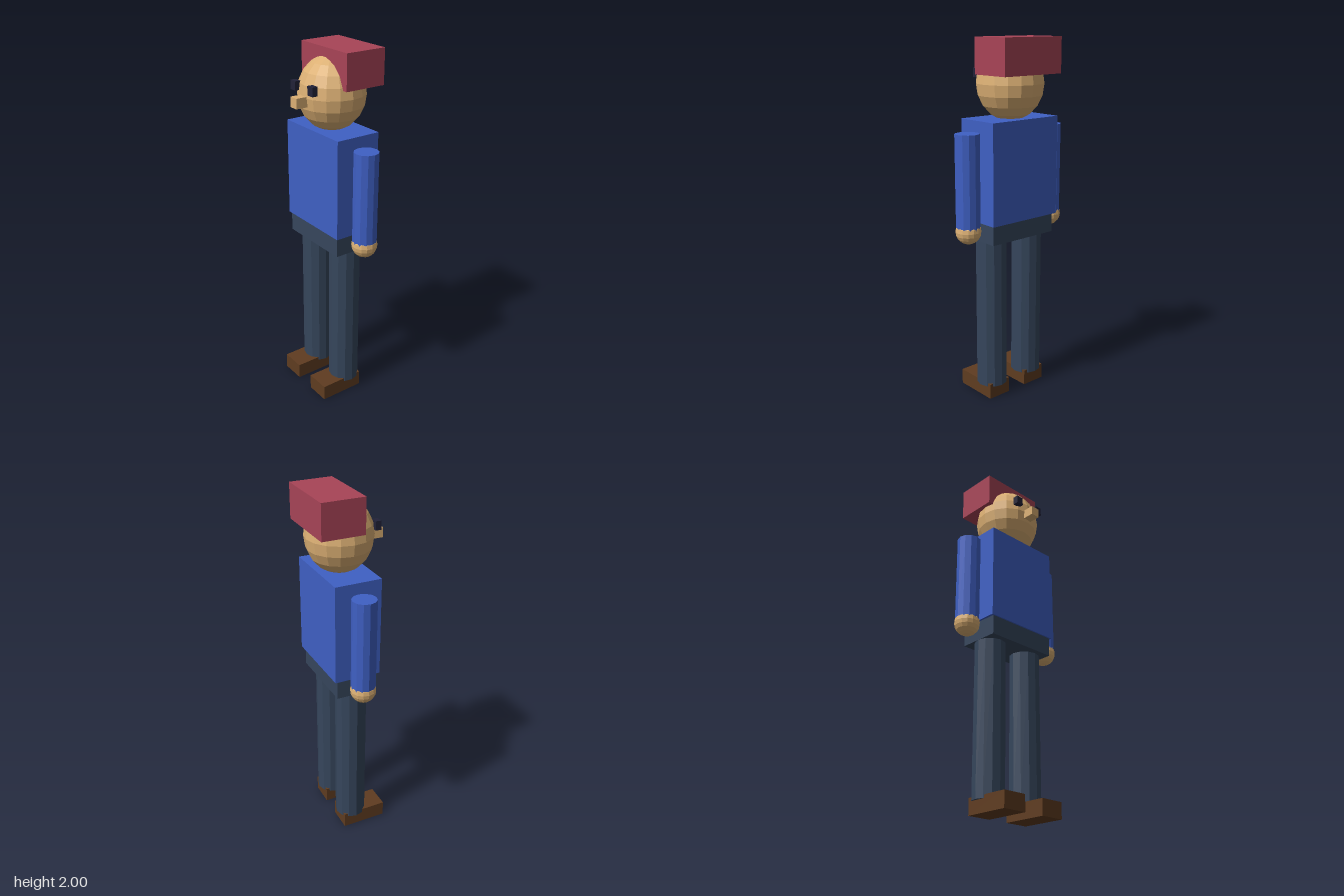
import * as THREE from 'three';

function paint(name, color) {
  const m = new THREE.MeshStandardMaterial({ color, flatShading: true });
  m.name = name;
  return m;
}

export function createModel() {
  const skin = paint('skin', 0xdcb074);
  const shirt = paint('shirt blue', 0x3f60c4);
  const trousers = paint('trouser navy', 0x36465c);
  const shoe = paint('shoe brown', 0x5f3c20);
  const hat = paint('cap red', 0xa84457);
  const dark = paint('eye dark', 0x222238);

  const model = new THREE.Group();
  model.name = 'figure';

  const add = (name, geometry, material, x, y, z) => {
    const mesh = new THREE.Mesh(geometry, material);
    mesh.name = name;
    mesh.position.set(x, y, z);
    model.add(mesh);
    return mesh;
  };
  // Box given by its low and high corners
  const box = (name, material, x0, x1, y0, y1, z0, z1) =>
    add(name, new THREE.BoxGeometry(x1 - x0, y1 - y0, z1 - z0), material,
      (x0 + x1) / 2, (y0 + y1) / 2, (z0 + z1) / 2);
  // Upright cylinder given by its ends
  const post = (name, material, r, x, y0, y1, z) =>
    add(name, new THREE.CylinderGeometry(r, r, y1 - y0, 12), material, x, (y0 + y1) / 2, z);

  // Body
  box('torso', shirt, -0.228, 0.228, 1.035, 1.58, -0.158, 0.102);
  box('hips', trousers, -0.215, 0.215, 0.927, 1.035, -0.14, 0.094);

  // Head
  const head = add('head', new THREE.SphereGeometry(0.182, 16, 10), skin, 0, 1.76, -0.028);
  head.scale.y = 1.1;
  box('nose', skin, -0.027, 0.027, 1.715, 1.769, 0.13, 0.21);
  box('cap', hat, -0.195, 0.195, 1.81, 2, -0.212, 0.025);

  // Paired parts
  for (const [side, s] of [['left', 1], ['right', -1]]) {
    const eye = box(side + 'Eye', dark, 0.054, 0.098, 1.785, 1.833, 0.13, 0.162);
    eye.position.x *= s;
    post(side + 'Arm', shirt, 0.066, s * 0.294, 1.0, 1.52, -0.029);
    add(side + 'Hand', new THREE.SphereGeometry(0.07, 14, 10), skin, s * 0.294, 1.0, -0.029);
    post(side + 'Leg', trousers, 0.086, s * 0.13, 0.07, 0.927, -0.022);
    const foot = box(side + 'Shoe', shoe, 0.06, 0.2, 0, 0.088, -0.09, 0.167);
    foot.position.x *= s;
  }
  return model;
}
